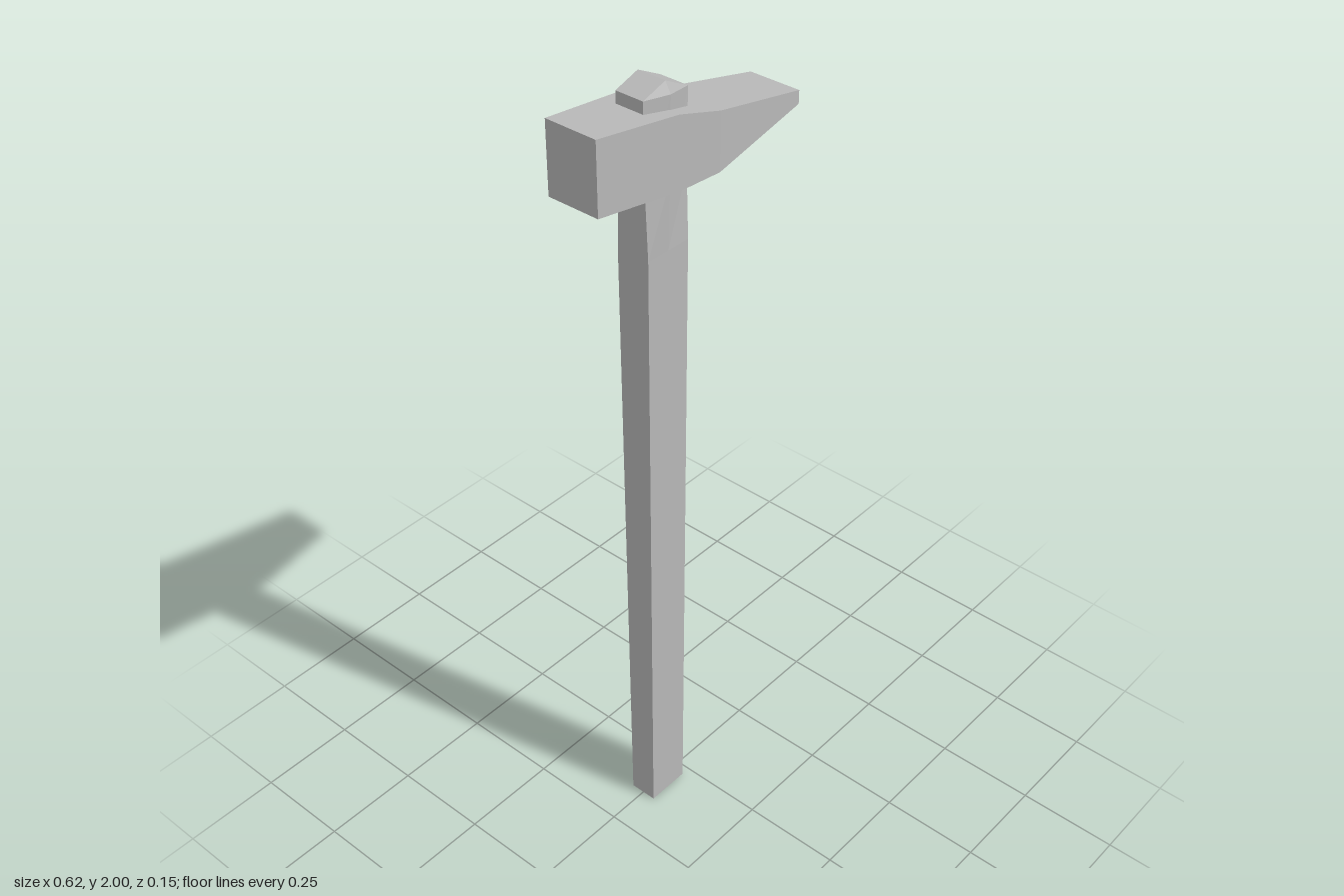
import * as THREE from 'three';

// Skins matching cross-sections (counterclockwise seen from the end) and caps both ends.
function loft(rings) {
  const pos = [], n = rings[0].length, last = rings.length - 1;
  const tri = (...pts) => {
    const [a, b, c] = pts.map((p) => new THREE.Vector3(...p));
    if (b.sub(a).cross(c.sub(a)).length() > 1e-8) pts.forEach((p) => pos.push(...p));
  };
  for (let r = 0; r < last; r++) {
    for (let i = 0; i < n; i++) {
      const j = (i + 1) % n, lo = rings[r], hi = rings[r + 1];
      tri(lo[i], lo[j], hi[j]);
      tri(lo[i], hi[j], hi[i]);
    }
  }
  for (let k = 2; k < n; k++) {
    const i = (1 + k) % n, h = k;
    tri(rings[last][1], rings[last][h], rings[last][i]);
    tri(rings[0][1], rings[0][i], rings[0][h]);
  }
  const geo = new THREE.BufferGeometry();
  geo.setAttribute('position', new THREE.Float32BufferAttribute(pos, 3));
  geo.computeVertexNormals();
  return geo;
}

export function createModel() {
  const grey = new THREE.MeshStandardMaterial({ color: 0xb8b8b8, flatShading: true });
  grey.name = 'plain grey';
  const model = new THREE.Group();
  model.name = 'hammer';
  const add = (name, rings) => {
    const mesh = new THREE.Mesh(loft(rings), grey);
    mesh.name = name;
    model.add(mesh);
  };

  // Head: square striking face at -x, thin wedge at +x: [x, bottom, top, half depth]
  add('head', [
    [-0.31, 1.805, 1.975, 0.066],
    [-0.085, 1.773, 1.943, 0.077],
    [0.04, 1.764, 1.903, 0.077],
    [0.31, 1.81, 1.842, 0.066],
  ].map(([x, lo, hi, z]) => [[x, lo, z], [x, lo, -z], [x, hi, -z], [x, hi, z]]));

  // Handle: rectangular, swelling to six sides in the head and ending in a ridge
  // [left x, right x, left y, middle y, right y, corner half depth, middle half depth]
  add('handle', [
    [-0.138, -0.024, 0, 0, 0, 0.035, 0.035],
    [-0.142, -0.018, 1.62, 1.62, 1.62, 0.042, 0.042],
    [-0.143, -0.016, 1.78, 1.78, 1.78, 0.036, 0.046],
    [-0.145, -0.013, 1.98, 1.975, 1.965, 0.036, 0.05],
    [-0.145, -0.013, 1.98, 2, 1.965, 0.036, 0.036],
  ].map(([l, r, yl, ym, yr, c, m]) => [
    [l, yl, c], [-0.08, ym, m], [r, yr, c],
    [r, yr, -c], [-0.08, ym, -m], [l, yl, -c],
  ]));

  return model;
}
